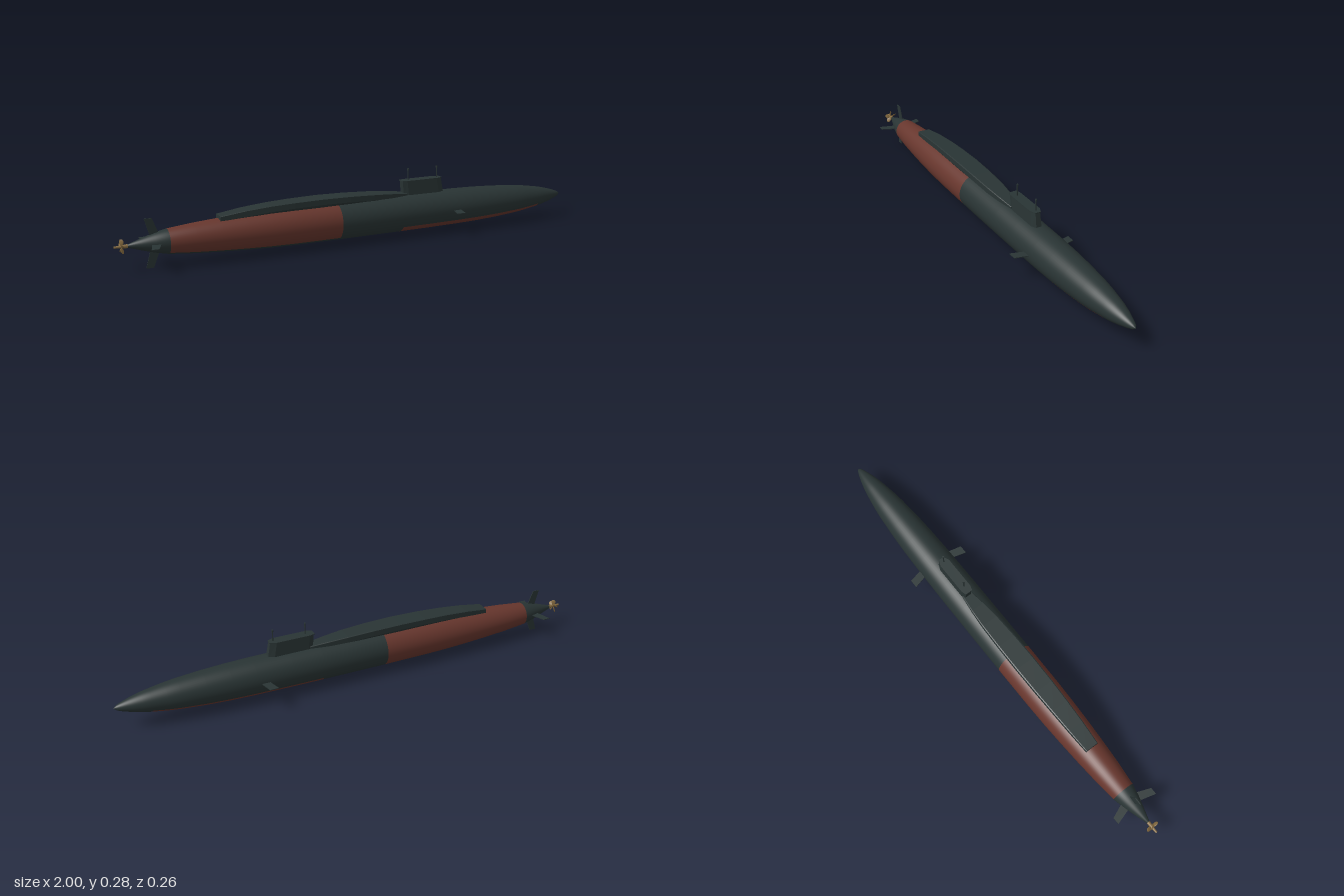
import * as THREE from 'three';

const AXIS = 0.0965; // height of the hull centreline

// Hull radius along x
const PROFILE = [
  [-0.955, 0], [-0.95, 0.006], [-0.9, 0.022], [-0.85, 0.037], [-0.8, 0.048], [-0.7, 0.058],
  [-0.6, 0.065], [-0.5, 0.0705], [-0.4, 0.0745], [-0.3, 0.0765], [-0.11, 0.0775], [0.17, 0.0775],
  [0.3, 0.077], [0.45, 0.0755], [0.55, 0.073], [0.65, 0.068], [0.75, 0.06], [0.8, 0.054],
  [0.86, 0.0445], [0.89, 0.039], [0.93, 0.029], [0.965, 0.018], [0.985, 0.01], [0.997, 0],
];

function hullRadius(x) {
  const i = PROFILE.findIndex((p, k) => k > 0 && p[0] >= x);
  const [a, b] = [PROFILE[i - 1], PROFILE[i]];
  return THREE.MathUtils.lerp(a[1], b[1], (x - a[0]) / (b[0] - a[0]));
}

// Lathe hull whose faces are sorted into a dark and a red group
function hullGeometry() {
  const g = new THREE.LatheGeometry(PROFILE.map(([x, r]) => new THREE.Vector2(r, x)), 48);
  g.rotateZ(-Math.PI / 2);
  const pos = g.attributes.position, idx = g.index.array, dark = [], red = [];
  for (let i = 0; i < idx.length; i += 3) {
    const tri = [idx[i], idx[i + 1], idx[i + 2]];
    const ctr = new THREE.Vector3();
    for (const v of tri) ctr.add(new THREE.Vector3().fromBufferAttribute(pos, v));
    ctr.divideScalar(3);
    const angle = THREE.MathUtils.radToDeg(Math.atan2(ctr.y, Math.abs(ctr.z)));
    const aft = ctr.x > -0.8 && ctr.x < -0.11 && angle > -52.5;
    const fore = ctr.x > 0.17 && ctr.x < 0.86 && angle < -37.5;
    (aft || fore ? red : dark).push(...tri);
  }
  g.setIndex([...dark, ...red]);
  g.addGroup(0, dark.length, 0);
  g.addGroup(dark.length, red.length, 1);
  return g;
}

// Flat-shaded skin over equal rings of points, with closed ends.
// Rings run counterclockwise as seen from the last ring's side.
function loft(rings) {
  const n = rings[0].length, index = [];
  for (let s = 0; s < rings.length - 1; s++) {
    for (let k = 0; k < n; k++) {
      const a = s * n + k, b = s * n + (k + 1) % n;
      index.push(a, a + n, b, b, a + n, b + n);
    }
  }
  const last = (rings.length - 1) * n;
  for (let k = 1; k < n - 1; k++) {
    index.push(0, k, k + 1, last, last + k + 1, last + k);
  }
  const g = new THREE.BufferGeometry();
  g.setAttribute('position', new THREE.Float32BufferAttribute(rings.flat(2), 3));
  g.setIndex(index);
  const flat = g.toNonIndexed();
  flat.computeVertexNormals();
  return flat;
}

// Thin tapered fin standing along +y, from an outline in x and y
function finGeometry(outline) {
  const shape = new THREE.Shape(outline.map(([x, y]) => new THREE.Vector2(x, y)));
  const g = new THREE.ExtrudeGeometry(shape, { depth: 0.003, bevelEnabled: false });
  return g.translate(0, 0, -0.0015);
}

export function createModel() {
  const hullDark = new THREE.MeshStandardMaterial({ color: 0x293434 });
  hullDark.name = 'hullDark';
  const red = new THREE.MeshStandardMaterial({ color: 0x67362d });
  red.name = 'antifoulingRed';
  const brass = new THREE.MeshStandardMaterial({ color: 0x846a40 });
  brass.name = 'brass';

  const model = new THREE.Group();
  model.name = 'submarine';
  const add = (name, geometry, material, parent = model) => {
    const mesh = new THREE.Mesh(geometry, material);
    mesh.name = name;
    parent.add(mesh);
    return mesh;
  };

  add('hull', hullGeometry(), [hullDark, red]).position.y = AXIS;

  // Raised deck casing: x, half width, top height
  const stations = [
    [-0.6, 0.028, 0.174], [-0.5, 0.034, 0.187], [-0.4, 0.038, 0.195], [-0.3, 0.041, 0.199],
    [-0.18, 0.0425, 0.201], [-0.06, 0.041, 0.199], [0.05, 0.037, 0.194], [0.13, 0.03, 0.188],
    [0.21, 0.02, 0.18],
  ];
  const casing = stations.map(([x, w, top]) => {
    const foot = AXIS + Math.sqrt(hullRadius(x) ** 2 - (0.75 * w) ** 2) - 0.004;
    const side = Math.max(foot + 0.002, top - 0.024);
    const half = [[0.75 * w, foot], [w, side], [w, top - 0.002], [0.9 * w, top]];
    const mirrored = half.slice().reverse().map(([z, y]) => [x, y, -z]);
    return [...half.map(([z, y]) => [x, y, z]), ...mirrored];
  });
  add('deckCasing', loft(casing), hullDark);

  // Sail with raked faces and a thin overhanging cap
  const sailRing = (y, x0, x1, w) => [
    [x0 + 0.02, y, -w], [x1 - 0.025, y, -w], [x1, y, -w * 0.55], [x1, y, w * 0.55],
    [x1 - 0.025, y, w], [x0 + 0.02, y, w], [x0, y, w * 0.7], [x0, y, -w * 0.7],
  ];
  add('sail', loft([sailRing(0.16, 0.197, 0.386, 0.021), sailRing(0.23, 0.19, 0.373, 0.018)]), hullDark);
  add('sailCap', loft([sailRing(0.229, 0.187, 0.376, 0.022), sailRing(0.232, 0.187, 0.376, 0.022)]), hullDark);

  // Masts
  for (const [name, x] of [['aftMast', 0.222], ['foreMast', 0.358]]) {
    const mast = new THREE.Group();
    mast.name = name;
    mast.position.x = x;
    model.add(mast);
    add('mastPole', new THREE.CylinderGeometry(0.0026, 0.0026, 0.05, 8), hullDark, mast).position.y = 0.255;
    add('mastHead', new THREE.CylinderGeometry(0.004, 0.004, 0.009, 8), hullDark, mast).position.y = 0.2755;
  }

  // Four tail fins in a cross
  const tailFin = finGeometry([[-0.868, 0.02], [-0.832, 0.02], [-0.832, 0.035], [-0.856, 0.0955], [-0.885, 0.0955], [-0.868, 0.035]]);
  ['upperRudder', 'frontSternPlane', 'lowerRudder', 'backSternPlane'].forEach((name, i) => {
    const fin = add(name, tailFin, hullDark);
    fin.position.y = AXIS;
    fin.rotation.x = i * Math.PI / 2;
  });

  // Bow planes
  const bowPlane = finGeometry([[0.402, 0.06], [0.436, 0.06], [0.436, 0.078], [0.424, 0.13], [0.388, 0.13], [0.402, 0.078]]);
  for (const side of [-1, 1]) {
    const plane = add(side > 0 ? 'frontBowPlane' : 'backBowPlane', bowPlane, hullDark);
    plane.position.y = AXIS;
    plane.rotation.x = side * Math.PI / 2;
  }

  // Propeller
  const propeller = new THREE.Group();
  propeller.name = 'propeller';
  propeller.position.set(-0.972, AXIS, 0);
  model.add(propeller);
  add('propellerHub', new THREE.CylinderGeometry(0.008, 0.004, 0.05, 12).rotateZ(-Math.PI / 2), brass, propeller).position.x = -0.003;
  const blade = new THREE.SphereGeometry(1, 10, 6).scale(0.002, 0.012, 0.01).rotateY(0.8).translate(0, 0.017, 0);
  for (let i = 0; i < 5; i++) {
    add('propellerBlade', blade, brass, propeller).rotation.x = i * Math.PI * 2 / 5;
  }
  return model;
}
